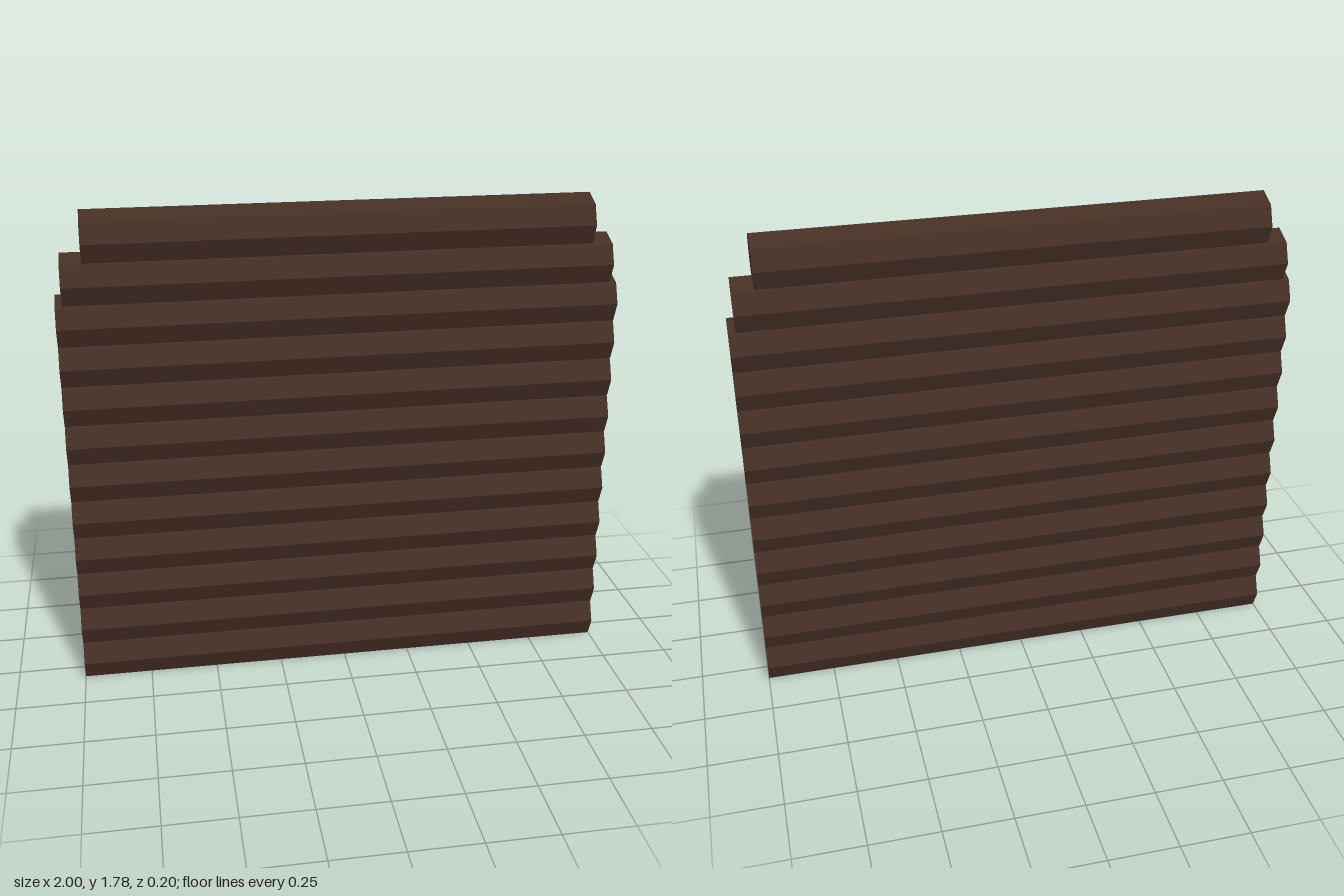
import * as THREE from 'three';

const LOG_COUNT = 12;
const RADIUS = 0.1;
const PITCH = 0.1461;

// Octagonal log section whose lowest corner is folded up into a saddle notch
function logSection() {
  const points = [];
  for (let i = 0; i < 8; i++) {
    const a = Math.PI / 2 + (i * Math.PI) / 4;
    points.push(new THREE.Vector2(RADIUS * Math.cos(a), RADIUS * Math.sin(a)));
  }
  points[4].y = -RADIUS * (Math.SQRT2 - 1);
  return new THREE.Shape(points);
}

// Log lying along x, centred on its own axis
function logGeometry(length) {
  const geometry = new THREE.ExtrudeGeometry(logSection(), { depth: length, bevelEnabled: false });
  geometry.translate(0, 0, -length / 2);
  geometry.rotateY(Math.PI / 2);
  return geometry;
}

export function createModel() {
  const model = new THREE.Group();
  model.name = 'logWall';
  const darkWood = new THREE.MeshStandardMaterial({ color: 0x452f25, flatShading: true });
  darkWood.name = 'darkWood';

  // Stacked logs, with the top two stepped in
  const fullLog = logGeometry(2);
  const upperLog = logGeometry(1.95);
  const topLog = logGeometry(1.8);
  for (let i = 0; i < LOG_COUNT; i++) {
    const geometry = i === LOG_COUNT - 1 ? topLog : i === LOG_COUNT - 2 ? upperLog : fullLog;
    const log = new THREE.Mesh(geometry, darkWood);
    log.name = `log${i + 1}`;
    log.position.y = RADIUS * Math.SQRT1_2 + i * PITCH;
    model.add(log);
  }
  return model;
}
